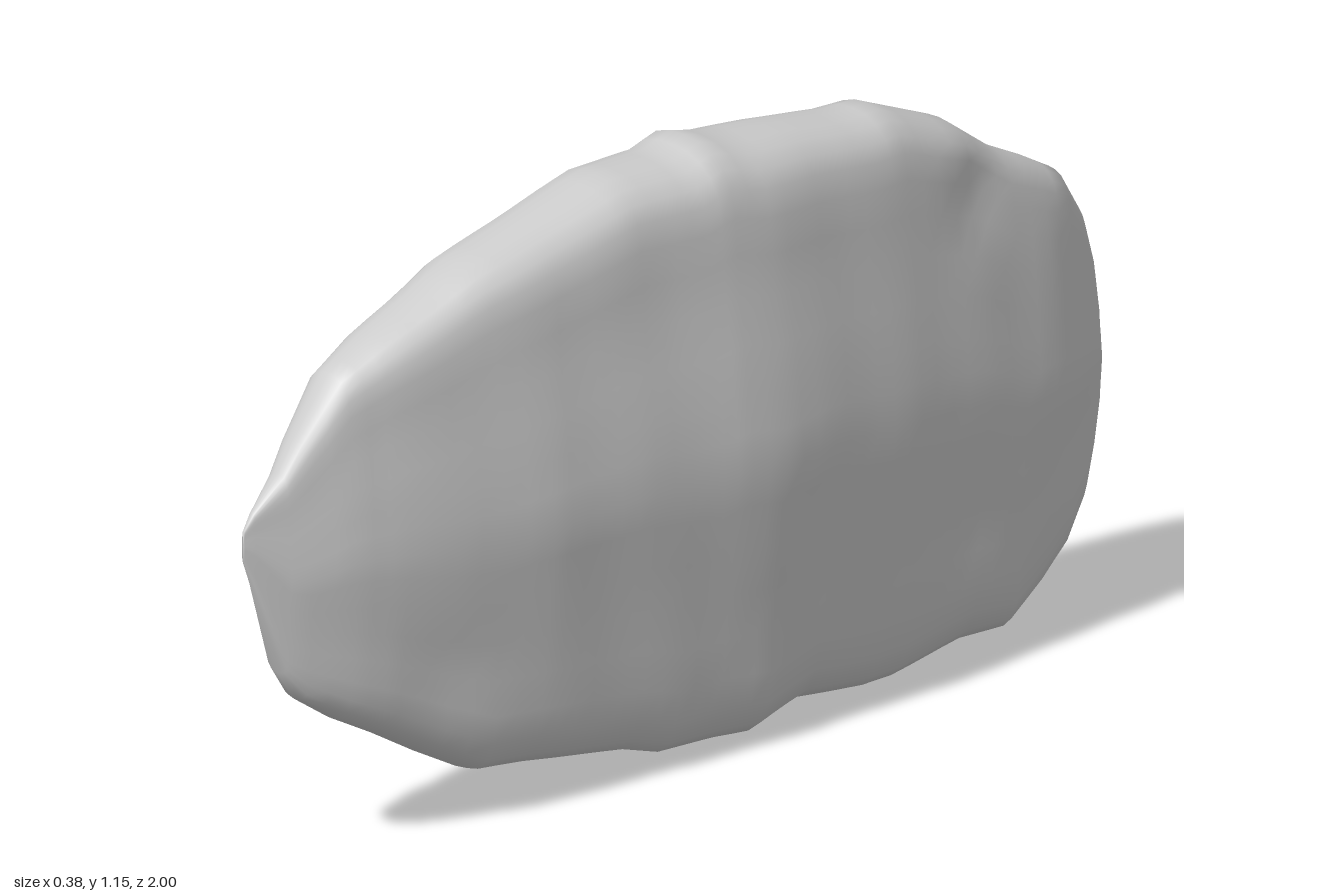
import * as THREE from 'three';

// Stations from nose to tail: z, top, bottom, half-width
const STATIONS = [
  [1.0, 0.66, 0.6, 0.004], [0.98, 0.69, 0.55, 0.012], [0.92, 0.75, 0.37, 0.04],
  [0.88, 0.81, 0.31, 0.055], [0.8, 0.91, 0.255, 0.083], [0.7, 0.96, 0.2, 0.11],
  [0.6, 1.0, 0.14, 0.127], [0.5, 1.045, 0.085, 0.142], [0.4, 1.07, 0.075, 0.155],
  [0.17, 1.13, 0.04, 0.17], [0.09, 1.13, 0.015, 0.175], [0.02, 1.13, 0.012, 0.179],
  [-0.04, 1.15, 0.01, 0.184], [-0.12, 1.13, 0.003, 0.189], [-0.24, 1.12, 0.035, 0.176],
  [-0.4, 1.1, 0.015, 0.16], [-0.47, 1.1, 0.015, 0.152], [-0.64, 1.03, 0.04, 0.13],
  [-0.75, 0.95, 0.035, 0.116], [-0.83, 0.91, 0.09, 0.103], [-0.9, 0.87, 0.145, 0.082],
  [-0.95, 0.79, 0.22, 0.062], [-0.98, 0.7, 0.3, 0.044], [-1.0, 0.6, 0.38, 0.03],
];

// Right half of the cross-section, top to bottom, as fractions of width and height
const SECTION = [
  [0, 1], [0.22, 0.995], [0.42, 0.975], [0.58, 0.935], [0.69, 0.88], [0.75, 0.79],
  [0.785, 0.67], [0.82, 0.53], [0.89, 0.38], [0.94, 0.22], [0.975, 0.1], [1, -0.03],
  [0.96, -0.15], [0.91, -0.3], [0.86, -0.45], [0.82, -0.6], [0.79, -0.74],
  [0.73, -0.85], [0.61, -0.93], [0.43, -0.975], [0.22, -0.99], [0, -1],
];

// Shallow lumps and hollows on both flanks: y, z, radius, depth
const DENTS = [
  [0.91, -0.66, 0.07, -0.018], [0.87, -0.8, 0.08, -0.008], [0.88, 0.15, 0.12, -0.005],
  [0.2, -0.1, 0.1, -0.006], [0.3, 0.6, 0.1, -0.006], [0.6, -0.12, 0.15, 0.003],
  [0.15, -0.65, 0.08, 0.005],
];

function createBody() {
  const loop = SECTION.concat(SECTION.slice(1, -1).reverse().map(([x, v]) => [-x, v]));
  const n = loop.length, positions = [], indices = [];

  // Subdivide the stations into rings
  const rings = [];
  STATIONS.forEach((s, i) => {
    const next = STATIONS[i + 1];
    const steps = next ? Math.max(1, Math.round((s[0] - next[0]) / 0.04)) : 1;
    for (let k = 0; k < steps; k++) {
      rings.push(next ? s.map((a, j) => THREE.MathUtils.lerp(a, next[j], k / steps)) : s);
    }
  });

  for (const [z, top, bottom, width] of rings) {
    const mid = (top + bottom) / 2, half = (top - bottom) / 2;
    for (const [sx, sy] of loop) {
      const y = mid + half * sy;
      let x = sx * width;
      const side = Math.sign(x);
      // Uneven stone-like surface, fading at the thin ends
      const ripple = 0.0025 * Math.sin(9 * z + 13 * y) * Math.sin(21 * z - 17 * y);
      let push = ripple;
      for (const [dy, dz, r, d] of DENTS) {
        push += d * Math.exp(-((y - dy) ** 2 + (z - dz) ** 2) / (r * r));
      }
      x += side * push * Math.min(1, Math.abs(x) / 0.1);
      positions.push(x, y, z);
    }
  }

  for (let r = 0; r < rings.length - 1; r++) {
    for (let i = 0; i < n; i++) {
      const a = r * n + i, b = r * n + (i + 1) % n, c = a + n, d = b + n;
      indices.push(a, c, b, b, c, d);
    }
  }

  // Close the nose and the blunt tail
  const last = (rings.length - 1) * n, nose = positions.length / 3;
  positions.push(0, 0.63, 1, 0, 0.49, -1);
  for (let i = 0; i < n; i++) {
    const j = (i + 1) % n;
    indices.push(nose, i, j, nose + 1, last + j, last + i);
  }

  const geometry = new THREE.BufferGeometry();
  geometry.setAttribute('position', new THREE.Float32BufferAttribute(positions, 3));
  geometry.setIndex(indices);
  // Loop runs clockwise seen from the nose, so flip the winding outward
  const index = geometry.getIndex();
  for (let i = 0; i < index.count; i += 3) {
    const t = index.getX(i);
    index.setX(i, index.getX(i + 1));
    index.setX(i + 1, t);
  }
  geometry.computeVertexNormals();
  return geometry;
}

export function createModel() {
  const group = new THREE.Group();
  group.name = 'flatStone';
  const material = new THREE.MeshStandardMaterial({ color: 0xcccccc, roughness: 0.9 });
  const body = new THREE.Mesh(createBody(), material);
  body.name = 'stoneBody';
  group.add(body);
  return group;
}
